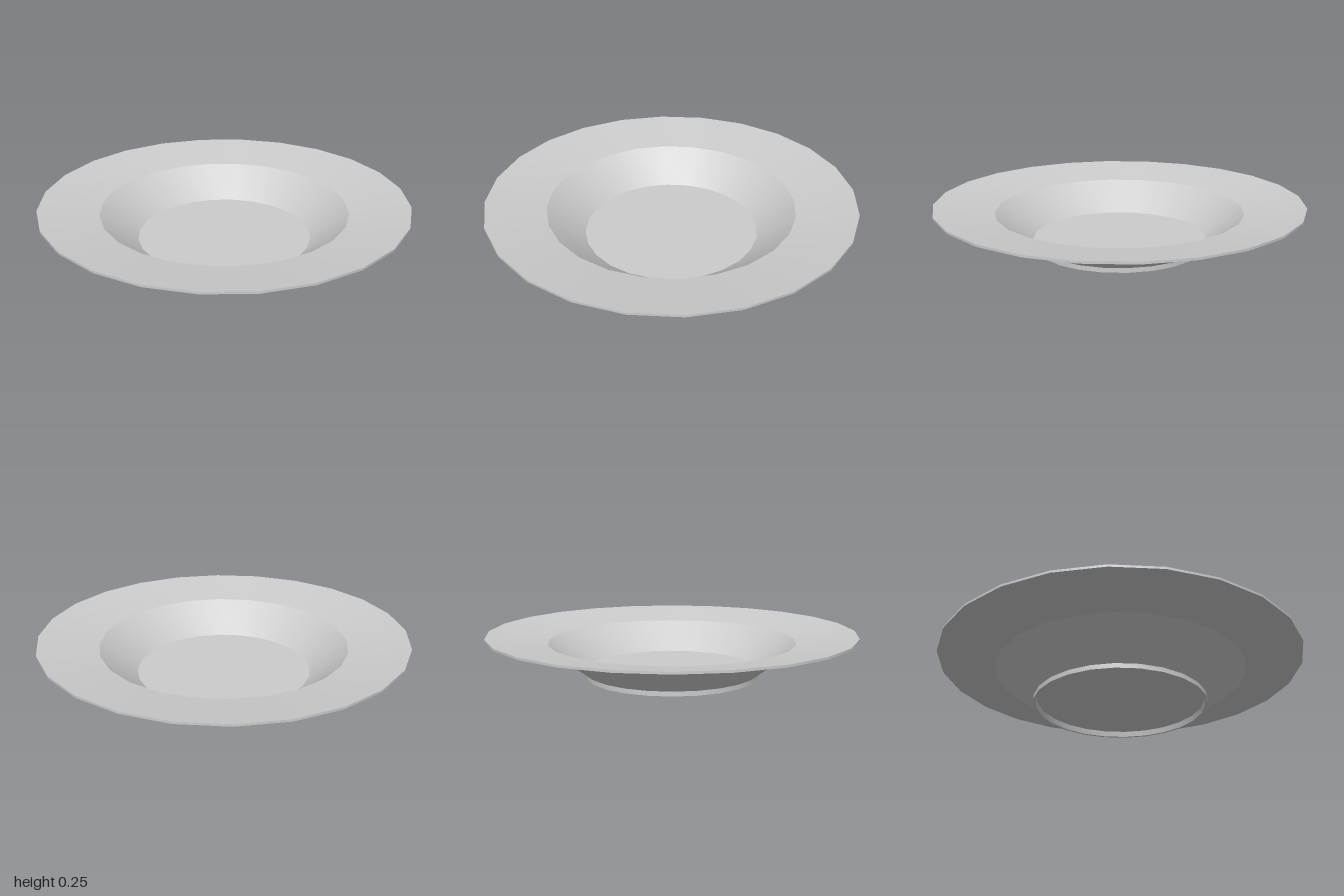
import * as THREE from 'three';
import { toCreasedNormals } from 'three/addons/utils/BufferGeometryUtils.js';

export function createModel() {
  const group = new THREE.Group();
  group.name = 'soupPlate';

  // Closed wall profile (radius, height): underside outwards, then the top side inwards
  const profile = [
    [0, 0.03], [0.455, 0.03],                 // recessed underside
    [0.461, 0], [0.474, 0], [0.474, 0.025],   // foot ring
    [0.69, 0.187], [1, 0.234],                // outer well wall and rim underside
    [1, 0.246], [0.675, 0.197],               // rim edge and rim top
    [0.474, 0.04], [0, 0.04],                 // inner well wall and floor
  ].map(([r, y]) => new THREE.Vector2(r, y));

  // 24 sides, smooth around each band and sharp between bands
  const geometry = toCreasedNormals(new THREE.LatheGeometry(profile, 24), THREE.MathUtils.degToRad(25));
  const plate = new THREE.Mesh(geometry, new THREE.MeshStandardMaterial({ color: 0xcccccc }));
  plate.name = 'plate';
  group.add(plate);
  return group;
}
